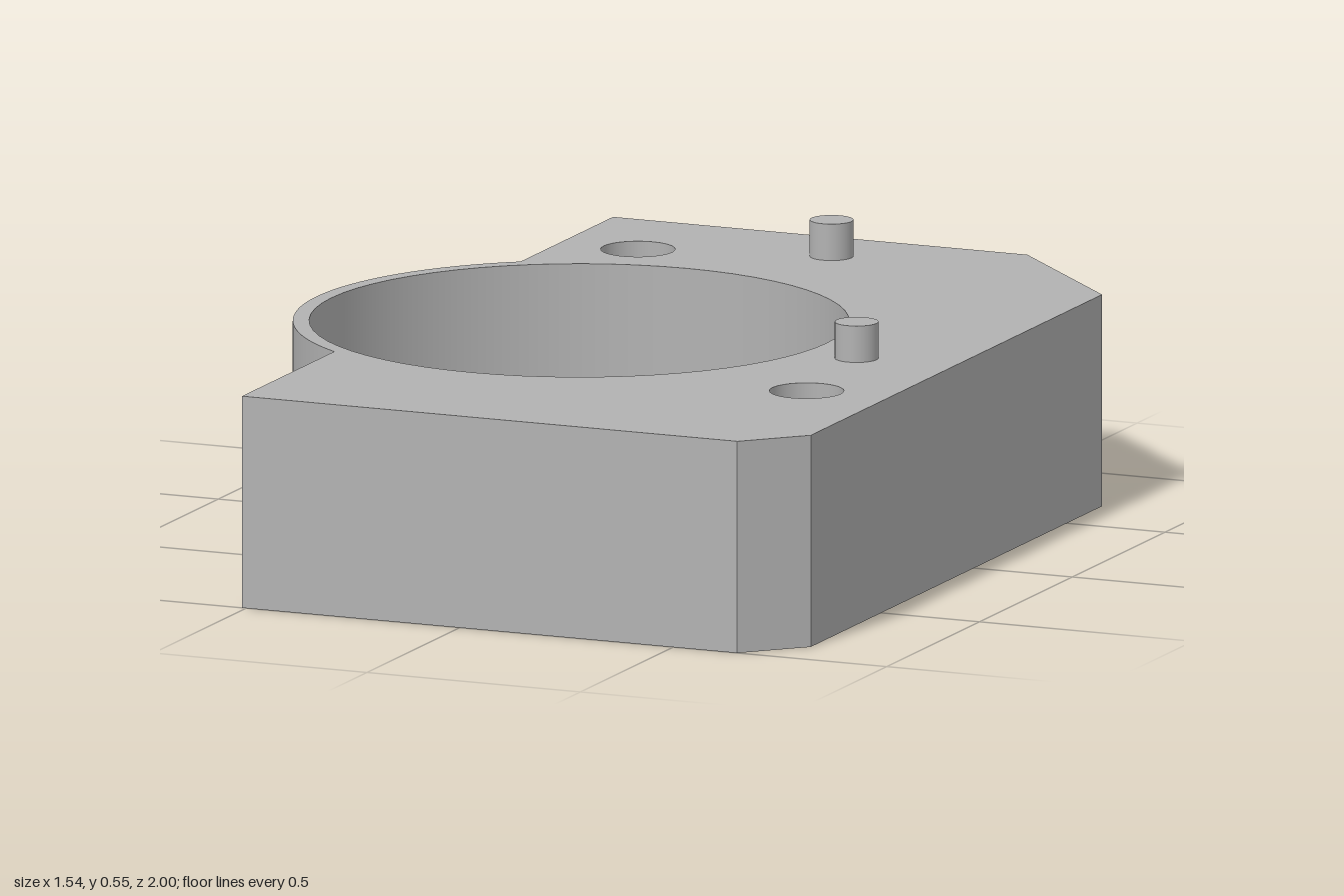
import * as THREE from 'three';

const H = 0.465;                                   // body height
const FLOOR = 0.03;                                // pocket floor level
const BORE = { x: -0.155, z: 0, r: 0.26 };         // through hole
const POCKET = { x: -0.155, z: 0, r: 0.58 };
const LOBE_R = 0.615;                              // round bulge on the -x side
const HALF = Math.acos((0.51 + BORE.x) / LOBE_R);  // half angle of the bulge
const EDGE_Z = LOBE_R * Math.sin(HALF);
const SEG = 64;

// straight outline corners [x, z]
const CORNERS = [
  [-0.51, EDGE_Z], [-0.51, 1], [0.65, 1], [0.77, 0.88],
  [0.77, -0.69], [0.46, -1], [-0.51, -1], [-0.51, -EDGE_Z],
];
const BOLT_HOLES = [{ x: -0.33, z: -0.72, r: 0.08 }, { x: 0.58, z: 0.465, r: 0.08 }];
const PINS = [{ x: 0.08, z: -0.82, bottom: 0.2 }, { x: 0.545, z: 0.115, bottom: 0.05 }];
const UNDER_HOLES = [
  { x: 0.585, z: -0.435, r: 0.078, depth: 0.3 },
  { x: 0.545, z: 0.115, r: 0.072, depth: 0.3 },
  { x: 0.325, z: 0.51, r: 0.078, depth: 0.3 },
  { x: 0.08, z: -0.82, r: 0.052, depth: 0.2 },
  { x: -0.385, z: 0.81, r: 0.052, depth: 0.2 },
];

export function createModel() {
  const group = new THREE.Group();
  const grey = new THREE.MeshStandardMaterial({ color: 0xb2b2b2, side: THREE.DoubleSide });
  grey.name = 'machined grey';

  const add = (name, geometry, x = 0, y = 0, z = 0) => {
    const mesh = new THREE.Mesh(geometry, grey);
    mesh.name = name;
    mesh.position.set(x, y, z);
    group.add(mesh);
  };

  // flat face with the body outline and round holes; dir 1 faces up, -1 down
  const cap = (name, y, dir, holes) => {
    const pts = CORNERS.map(([x, z]) => new THREE.Vector2(x, -dir * z));
    for (let i = 1; i < 32; i++) {
      const a = Math.PI + HALF - (2 * HALF * i) / 32;
      pts.push(new THREE.Vector2(BORE.x + LOBE_R * Math.cos(a), -dir * LOBE_R * Math.sin(a)));
    }
    const shape = new THREE.Shape(pts);
    for (const h of holes) {
      shape.holes.push(new THREE.Path().absarc(h.x, -dir * h.z, h.r, 0, Math.PI * 2, true));
    }
    add(name, new THREE.ShapeGeometry(shape, SEG / 2).rotateX(-dir * Math.PI / 2), 0, y, 0);
  };

  // open round wall between two heights
  const tube = (name, { x, z, r }, y0, y1) =>
    add(name, new THREE.CylinderGeometry(r, r, y1 - y0, SEG, 1, true), x, (y0 + y1) / 2, z);

  // ring or disc lying flat
  const disc = (name, { x, z }, y, dir, outer, inner = 0) => {
    const g = inner ? new THREE.RingGeometry(inner, outer, SEG) : new THREE.CircleGeometry(outer, SEG);
    add(name, g.rotateX(-dir * Math.PI / 2), x, y, z);
  };

  // body faces
  cap('bodyTop', H, 1, [POCKET, ...BOLT_HOLES]);
  cap('bodyBottom', 0, -1, [BORE, ...UNDER_HOLES]);

  // straight side walls and the round bulge
  for (let i = 0; i < CORNERS.length - 1; i++) {
    const [x0, z0] = CORNERS[i], [x1, z1] = CORNERS[i + 1];
    const wall = new THREE.PlaneGeometry(Math.hypot(x1 - x0, z1 - z0), H);
    wall.rotateY(Math.atan2(z0 - z1, x1 - x0));
    add('sideWall', wall, (x0 + x1) / 2, H / 2, (z0 + z1) / 2);
  }
  add('roundWall', new THREE.CylinderGeometry(LOBE_R, LOBE_R, H, 32, 1, true,
    Math.PI * 1.5 - HALF, 2 * HALF), BORE.x, H / 2, 0);

  // pocket and through hole
  tube('pocketWall', POCKET, FLOOR, H);
  disc('pocketFloor', POCKET, FLOOR, 1, POCKET.r, BORE.r);
  tube('boreWall', BORE, 0, FLOOR);

  // stepped blind holes from the top
  for (const h of BOLT_HOLES) {
    tube('boltHoleWall', h, 0.25, H);
    disc('boltHoleStep', h, 0.25, 1, h.r, 0.07);
    tube('boltHoleCore', { ...h, r: 0.07 }, 0.15, 0.25);
    disc('boltHoleFloor', h, 0.15, 1, 0.07);
  }

  // blind holes from below
  for (const h of UNDER_HOLES) {
    tube('underHoleWall', h, 0, h.depth);
    disc('underHoleEnd', h, h.depth, -1, h.r);
  }

  // dowel pins standing out of the top
  for (const p of PINS) {
    const len = 0.545 - p.bottom;
    add('dowelPin', new THREE.CylinderGeometry(0.047, 0.047, len, 48), p.x, p.bottom + len / 2, p.z);
  }
  return group;
}
